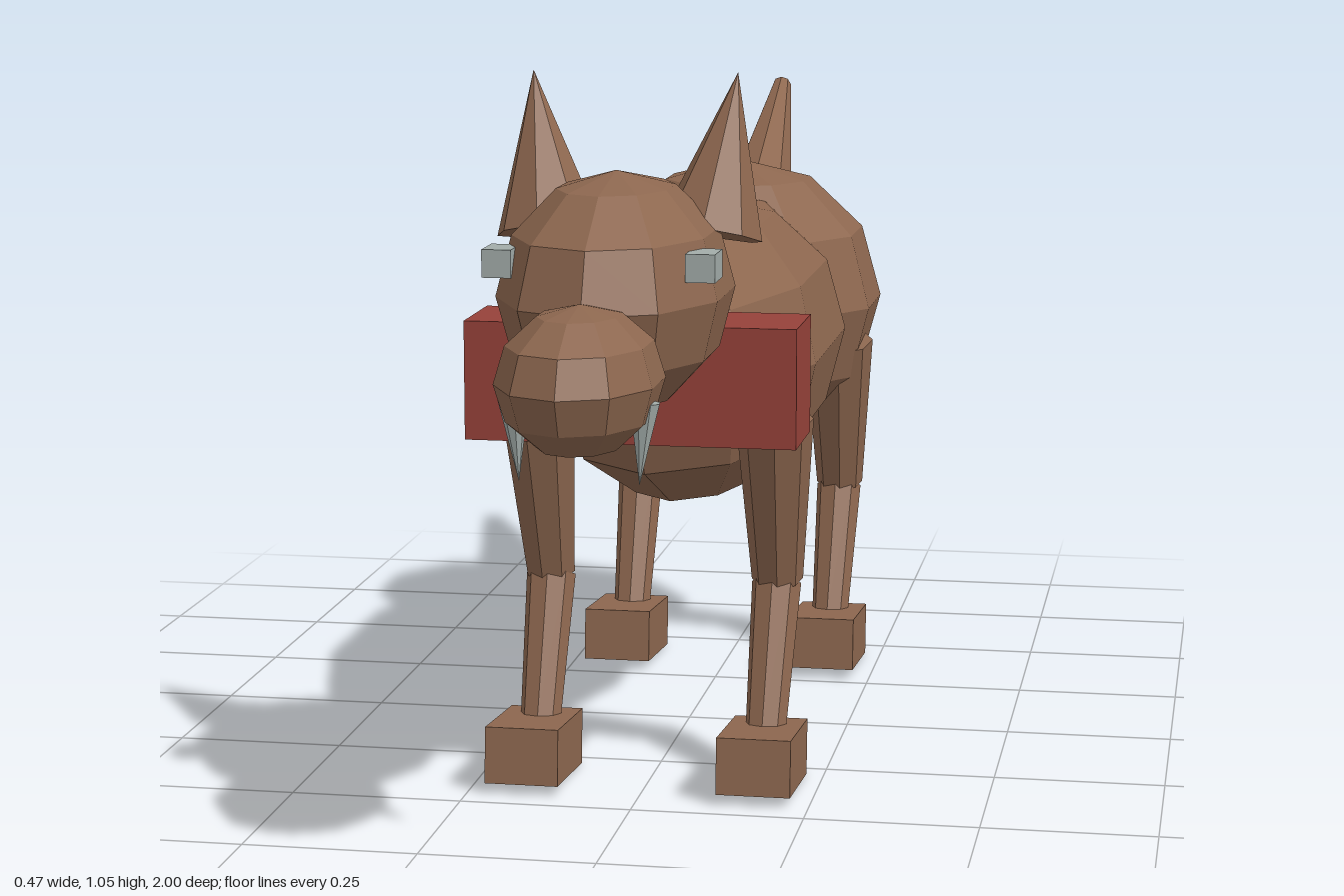
import * as THREE from 'three';

const flat = (name, color) => {
  const m = new THREE.MeshStandardMaterial({ color, flatShading: true });
  m.name = name;
  return m;
};

export function createModel() {
  const fur = flat('brownFur', 0x8d674f);
  const red = flat('redCollar', 0x96423a);
  const grey = flat('paleGrey', 0xa2aca9);
  const model = new THREE.Group();
  model.name = 'dog';

  const add = (name, geometry, material, pos) => {
    const mesh = new THREE.Mesh(geometry, material);
    mesh.name = name;
    mesh.position.set(...pos);
    model.add(mesh);
    return mesh;
  };

  // Faceted ellipsoid with an edge facing forward
  const blob = (name, pos, rx, ry, rz) =>
    add(name, new THREE.SphereGeometry(1, 10, 6).rotateY(Math.PI / 2).scale(rx, ry, rz), fur, pos);

  const box = (name, pos, size, material) =>
    add(name, new THREE.BoxGeometry(...size), material, pos);

  // Tapered eight-sided limb running from point a to point b
  const limb = (name, a, b, ra, rb, material = fur) => {
    const p = new THREE.Vector3(...a), q = new THREE.Vector3(...b);
    const dir = q.clone().sub(p);
    const mid = p.clone().add(q).multiplyScalar(0.5);
    const mesh = add(name, new THREE.CylinderGeometry(rb, ra, dir.length(), 8), material, mid.toArray());
    mesh.quaternion.setFromUnitVectors(new THREE.Vector3(0, 1, 0), dir.normalize());
    return mesh;
  };

  // Torso, hindquarters, head and snout
  blob('body', [0, 0.583, -0.12], 0.215, 0.228, 0.58);
  blob('hindquarters', [0, 0.6, -0.48], 0.243, 0.235, 0.272);
  blob('head', [0, 0.766, 0.587], 0.16, 0.166, 0.25);
  blob('snout', [0, 0.685, 0.84], 0.11, 0.1, 0.16);

  box('collar', [0, 0.62, 0.428], [0.473, 0.17, 0.145], red);
  limb('tail', [0, 0.72, -0.672], [0, 0.917, -0.988], 0.062, 0.016);

  for (const s of [1, -1]) {
    const side = s > 0 ? 'left' : 'right';

    // Face details
    limb(side + 'Ear', [s * 0.114, 0.836, 0.495], [s * 0.145, 1.055, 0.445], 0.074, 0);
    box(side + 'Eye', [s * 0.138, 0.818, 0.69], [0.04, 0.038, 0.06], grey);
    limb(side + 'Fang', [s * 0.087, 0.66, 0.847], [s * 0.08, 0.55, 0.849], 0.021, 0, grey);

    // Front and hind legs share one shape
    for (const [end, dz] of [['Front', 0], ['Hind', -0.73]]) {
      limb(side + end + 'UpperLeg', [s * 0.176, 0.54, 0.293 + dz], [s * 0.172, 0.288, 0.23 + dz], 0.057, 0.038);
      limb(side + end + 'LowerLeg', [s * 0.171, 0.282, 0.231 + dz], [s * 0.169, 0.08, 0.323 + dz], 0.037, 0.03);
      box(side + end + 'Foot', [s * 0.17, 0.052, 0.364 + dz], [0.108, 0.083, 0.178], fur).rotation.x = -0.085;
    }
  }
  return model;
}
